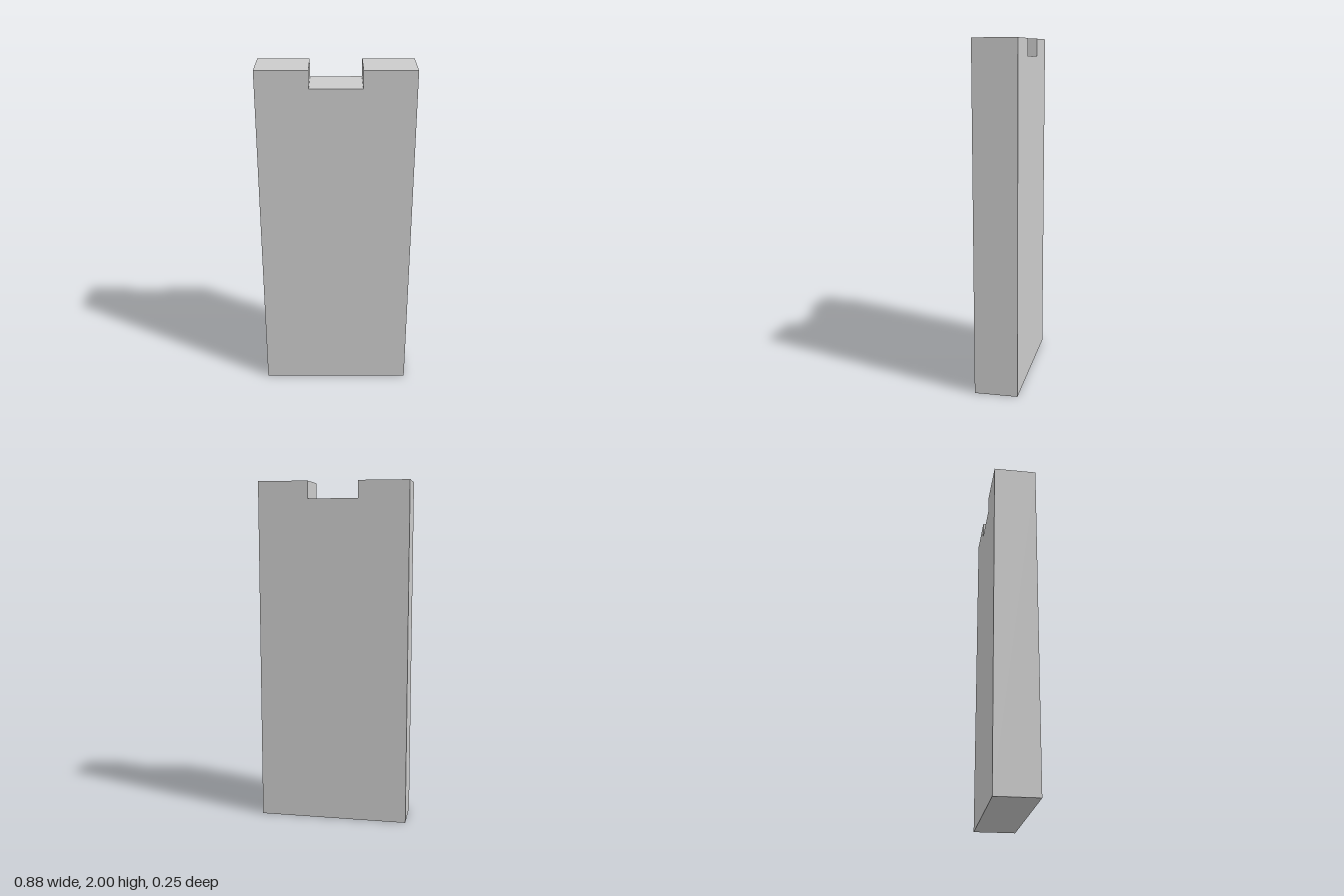
import * as THREE from 'three';

const HALF_WIDTH = 0.438;
const HALF_NOTCH = 0.146;
const HEIGHT = 2;
const NOTCH_FLOOR = 1.9;
const DEPTH = 0.25;

export function createModel() {
  const group = new THREE.Group();
  group.name = 'notchedSlab';

  // Upright slab outline with a shallow square notch in the top edge
  const outline = new THREE.Shape([
    [-HALF_WIDTH, 0],
    [HALF_WIDTH, 0],
    [HALF_WIDTH, HEIGHT],
    [HALF_NOTCH, HEIGHT],
    [HALF_NOTCH, NOTCH_FLOOR],
    [-HALF_NOTCH, NOTCH_FLOOR],
    [-HALF_NOTCH, HEIGHT],
    [-HALF_WIDTH, HEIGHT],
  ].map(([x, y]) => new THREE.Vector2(x, y)));

  const geometry = new THREE.ExtrudeGeometry(outline, { depth: DEPTH, bevelEnabled: false });
  geometry.translate(0, 0, -DEPTH / 2);

  const slab = new THREE.Mesh(
    geometry,
    new THREE.MeshStandardMaterial({ color: 0xcccccc, flatShading: true }),
  );
  slab.name = 'slab';
  group.add(slab);
  return group;
}
